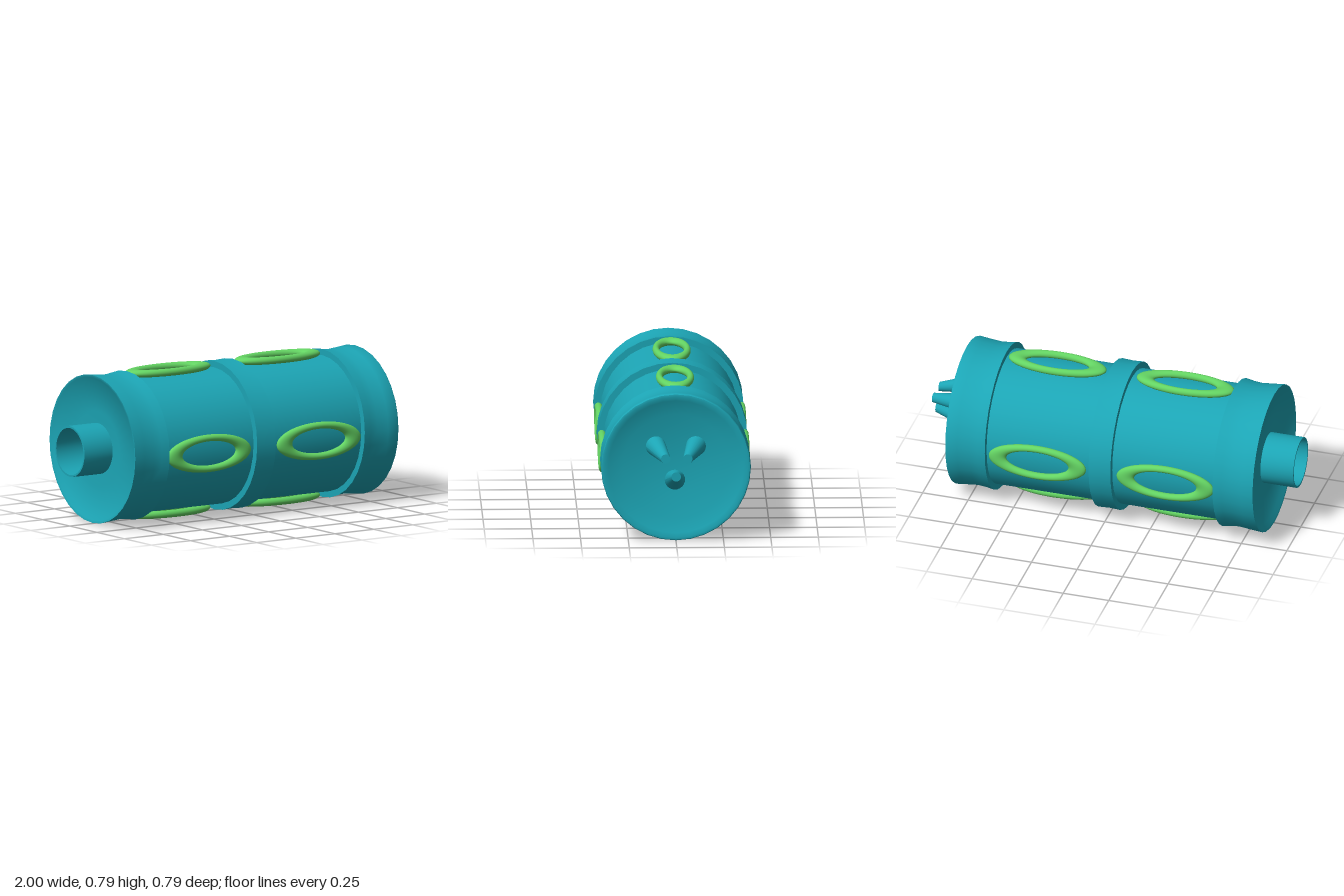
import * as THREE from 'three';
import { toCreasedNormals } from 'three/addons/utils/BufferGeometryUtils.js';

const AXIS_Y = 0.4025;
const teal = new THREE.MeshStandardMaterial({ color: 0x1ca5b5, side: THREE.DoubleSide });
const green = new THREE.MeshStandardMaterial({ color: 0x64d463 });

// Solid of revolution about the x axis; profile is [x, radius] from left to right on the outside
function turned(name, profile, segments = 32) {
  const points = profile.map(([x, r]) => new THREE.Vector2(r, x));
  const geometry = toCreasedNormals(new THREE.LatheGeometry(points, segments), 0.7);
  geometry.rotateZ(-Math.PI / 2);
  const mesh = new THREE.Mesh(geometry, teal);
  mesh.name = name;
  return mesh;
}

// Tapered prong whose ends stay square to the x axis; base and tip are [y, z]
function prong(base, tip) {
  const x0 = 0.765, length = 1 - x0;
  const geometry = new THREE.CylinderGeometry(0.025, 0.056, length, 24);
  geometry.rotateZ(-Math.PI / 2);
  const p = geometry.attributes.position;
  for (let i = 0; i < p.count; i++) {
    const t = p.getX(i) / length + 0.5;
    p.setXYZ(i, x0 + t * length,
      p.getY(i) + THREE.MathUtils.lerp(base[0], tip[0], t),
      p.getZ(i) + THREE.MathUtils.lerp(base[1], tip[1], t));
  }
  geometry.computeVertexNormals();
  const mesh = new THREE.Mesh(geometry, teal);
  mesh.name = 'prong';
  return mesh;
}

export function createModel() {
  const model = new THREE.Group();
  model.name = 'canister';

  const barrel = new THREE.Group();
  barrel.name = 'barrel';
  barrel.position.y = AXIS_Y;
  model.add(barrel);

  // Main cylinder and central band
  barrel.add(turned('body', [[-0.7, 0.361], [0.7, 0.361]]));
  barrel.add(turned('centreBand', [
    [-0.075, 0.355], [-0.075, 0.395], [-0.015, 0.392], [0.045, 0.395], [0.045, 0.355],
  ]));

  // Flared end collars with recessed faces
  barrel.add(turned('leftCollar', [
    [-0.815, 0], [-0.822, 0.2], [-0.835, 0.36], [-0.853, 0.38], [-0.855, 0.394],
    [-0.79, 0.388], [-0.725, 0.382], [-0.68, 0.386], [-0.635, 0.394], [-0.635, 0.355],
  ]));
  barrel.add(turned('rightCollar', [
    [0.615, 0.355], [0.615, 0.394], [0.66, 0.386], [0.705, 0.382], [0.77, 0.388],
    [0.826, 0.394], [0.833, 0.39], [0.835, 0.378], [0.825, 0.355],
    [0.806, 0.28], [0.786, 0.15], [0.778, 0],
  ]));

  // Hollow spout on the left end
  barrel.add(turned('spout', [
    [-0.82, 0], [-0.82, 0.122], [-1, 0.125], [-1, 0.135], [-0.8, 0.135],
  ]));

  // Three converging prongs on the right end
  model.add(prong([0.32, 0.005], [0.385, 0.003]));
  for (const s of [-1, 1]) model.add(prong([0.511, s * 0.112], [0.481, s * 0.058]));

  // Oval rings: two along the barrel on each of four sides
  const ringGeometry = new THREE.TorusGeometry(0.82, 0.18, 20, 56);
  ringGeometry.scale(0.267, 0.1, 0.02 / 0.18);
  for (let side = 0; side < 4; side++) {
    for (const x of [-0.37, 0.332]) {
      const ring = new THREE.Mesh(ringGeometry, green);
      ring.name = 'ovalRing';
      const angle = side * Math.PI / 2;
      const vertical = side % 2 === 1;
      ring.rotation.x = angle;
      ring.position.set(x,
        -Math.sin(angle) * 0.377 - (vertical ? 0 : 0.018),
        Math.cos(angle) * 0.375 - (vertical ? 0.007 : 0));
      barrel.add(ring);
    }
  }

  return model;
}
